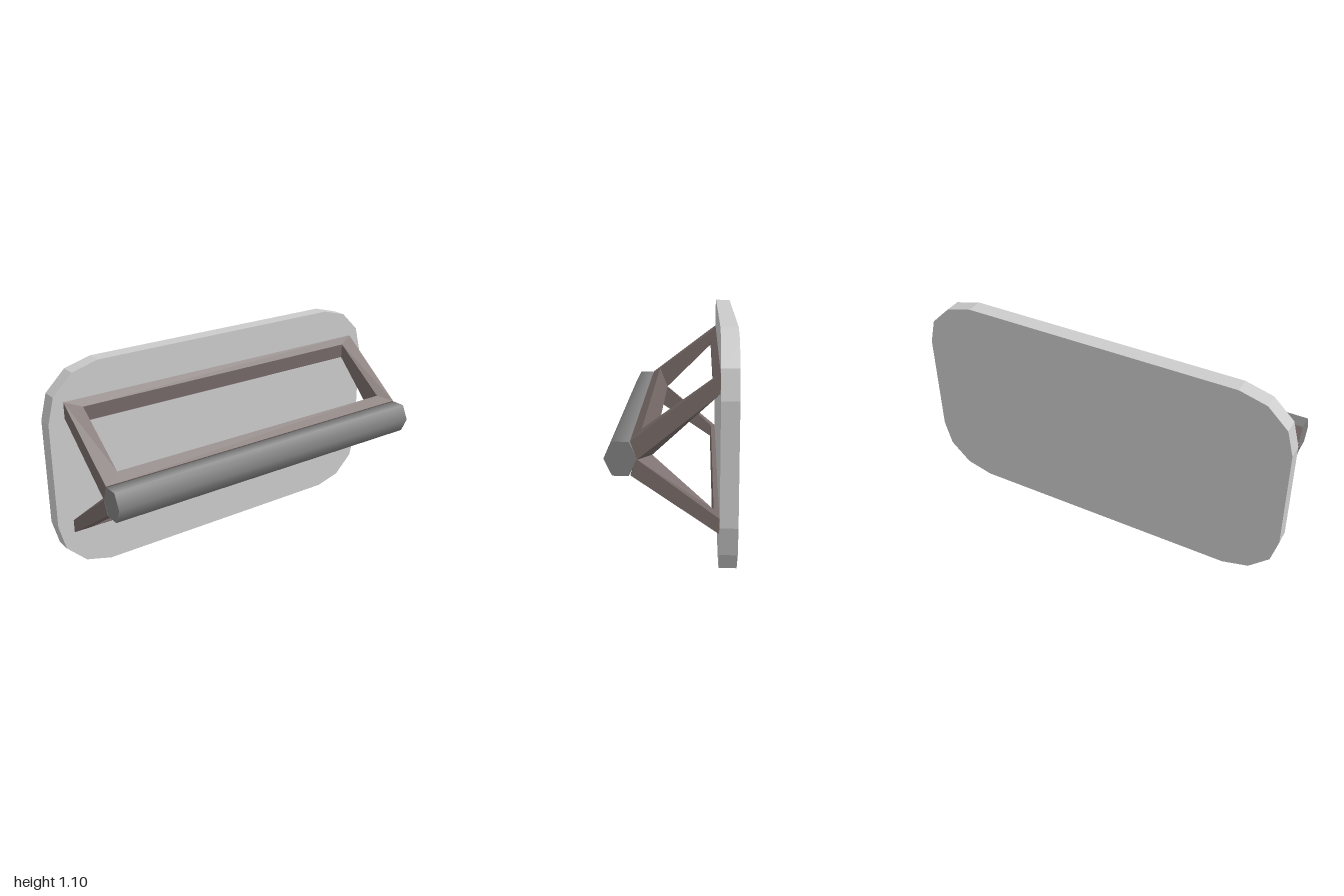
import * as THREE from 'three';

const material = (color) => new THREE.MeshStandardMaterial({ color });

// Closed rectangular ring: each [y, z] section is swept around four mirrored corners.
// Section order: outer face outer edge, outer face inner edge, back inner edge, back outer edge.
function ringGeometry(plateSection, barSection, outerX, innerX, flip) {
  const station = (section, side) => section.map(([y, z], i) =>
    [side * (i === 1 || i === 2 ? innerX : outerX), y, z]);
  const stations = [
    station(plateSection, 1), station(plateSection, -1),
    station(barSection, -1), station(barSection, 1),
  ];
  const positions = [];
  for (let j = 0; j < 4; j++) {
    const s = stations[j], t = stations[(j + 1) % 4];
    for (let i = 0; i < 4; i++) {
      const k = (i + 1) % 4;
      const [a, b, c, d] = flip ? [s[k], t[k], t[i], s[i]] : [s[i], t[i], t[k], s[k]];
      positions.push(...a, ...b, ...c, ...a, ...c, ...d);
    }
  }
  const geometry = new THREE.BufferGeometry();
  geometry.setAttribute('position', new THREE.Float32BufferAttribute(positions, 3));
  geometry.computeVertexNormals();
  return geometry;
}

export function createModel() {
  const group = new THREE.Group();
  const add = (name, geometry, mat) => {
    const mesh = new THREE.Mesh(geometry, mat);
    mesh.name = name;
    group.add(mesh);
    return mesh;
  };

  // Back plate with faceted corners
  const centreY = 0.548;
  const corner = [[1, 0.275], [0.965, 0.408], [0.86, 0.51], [0.72, 0.548]];
  const reversed = [...corner].reverse();
  const outline = [
    ...corner,
    ...reversed.map(([x, y]) => [-x, y]),
    ...corner.map(([x, y]) => [-x, -y]),
    ...reversed.map(([x, y]) => [x, -y]),
  ].map(([x, y]) => new THREE.Vector2(x, y + centreY));
  const plate = new THREE.ExtrudeGeometry(new THREE.Shape(outline), { depth: 0.08, bevelEnabled: false });
  plate.translate(0, 0, -0.29);
  add('backPlate', plate, material(0xcccccc));

  // Six-sided grip bar, smooth along its sides
  const bar = new THREE.CylinderGeometry(0.0725, 0.0725, 1.83, 6);
  bar.rotateZ(Math.PI / 2);
  bar.scale(1, 0.0755 / (0.0725 * Math.sin(Math.PI / 3)), 1);
  bar.translate(0, 0.553, 0.2175);
  add('gripBar', bar, material(0x7f7f7f));

  // Two sloping frames joining the bar to the plate
  const frameMaterial = material(0x766a68);
  frameMaterial.flatShading = true;
  add('upperFrame', ringGeometry(
    [[0.922, -0.21], [0.89, -0.177], [0.813, -0.18], [0.839, -0.21]],
    [[0.63, 0.175], [0.666, 0.13], [0.55, 0.085], [0.55, 0.145]],
    0.915, 0.83, false), frameMaterial);
  add('lowerFrame', ringGeometry(
    [[0.217, -0.21], [0.237, -0.18], [0.302, -0.186], [0.287, -0.21]],
    [[0.48, 0.175], [0.447, 0.13], [0.55, 0.085], [0.55, 0.145]],
    0.915, 0.83, true), frameMaterial);

  return group;
}
